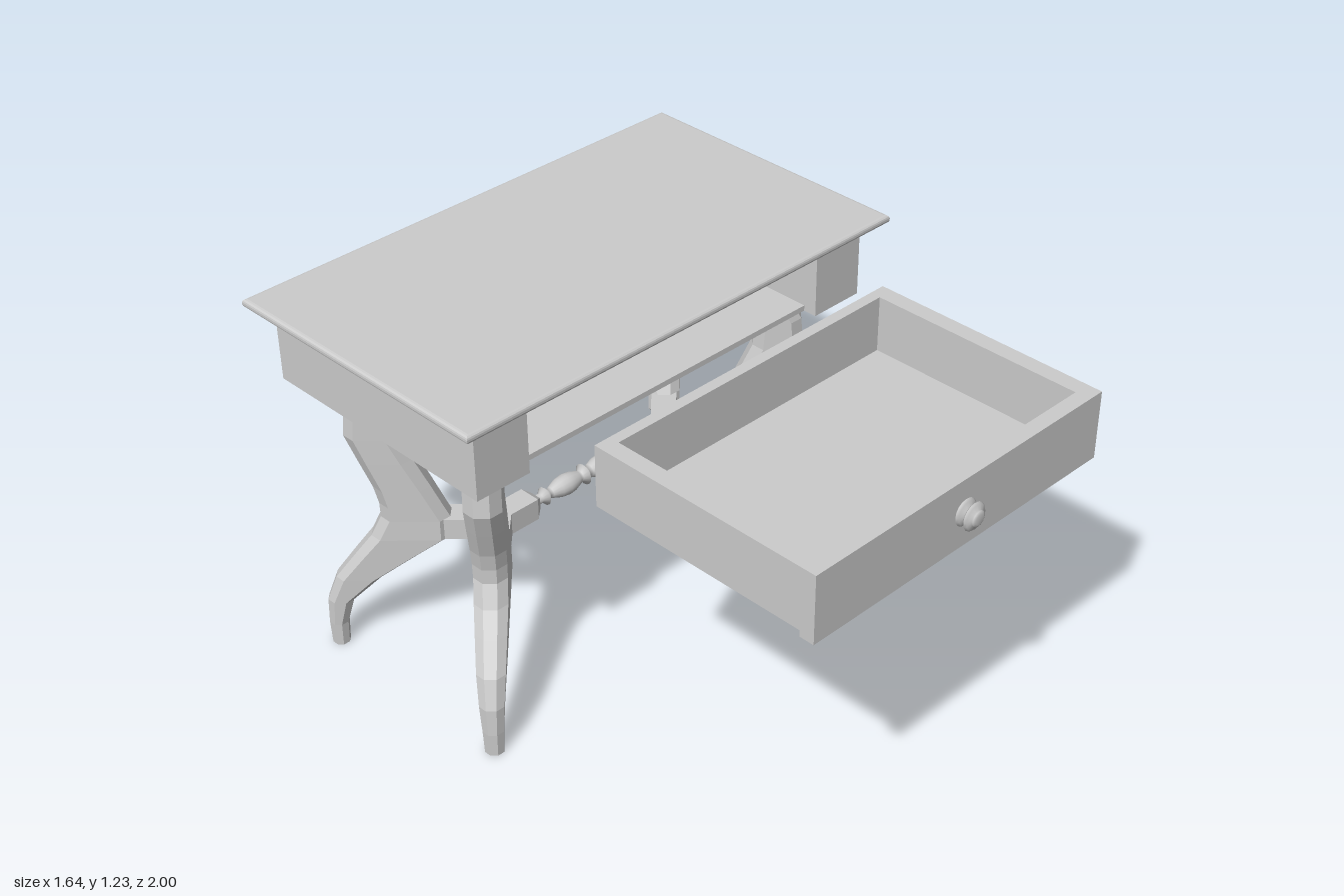
import * as THREE from 'three';

const grey = new THREE.MeshStandardMaterial({ color: 0xcccccc });
const greyFlat = new THREE.MeshStandardMaterial({ color: 0xcccccc, flatShading: true });

function add(parent, name, geometry, material = grey) {
  const mesh = new THREE.Mesh(geometry, material);
  mesh.name = name;
  parent.add(mesh);
  return mesh;
}

// Box given by its limits on each axis
function slab(parent, name, x0, x1, y0, y1, z0, z1) {
  const mesh = add(parent, name, new THREE.BoxGeometry(x1 - x0, y1 - y0, z1 - z0));
  mesh.position.set((x0 + x1) / 2, (y0 + y1) / 2, (z0 + z1) / 2);
  return mesh;
}

const lathe = (points, segments) =>
  new THREE.LatheGeometry(points.map(([r, h]) => new THREE.Vector2(r, h)), segments);

// Chamfered S-curved leg: rows of [height, outer reach, inner reach, half thickness]
const LEG_ROWS = [
  [0, 0.388, 0.335, 0.028], [0.08, 0.391, 0.332, 0.031], [0.17, 0.390, 0.312, 0.037],
  [0.26, 0.368, 0.245, 0.043], [0.35, 0.322, 0.156, 0.047], [0.42, 0.285, 0.085, 0.05],
  [0.49, 0.261, 0.085, 0.05], [0.54, 0.262, 0.101, 0.051], [0.6, 0.272, 0.12, 0.052],
  [0.7, 0.30, 0.153, 0.054], [0.785, 0.323, 0.18, 0.055], [0.88, 0.317, 0.185, 0.055],
  [0.92, 0.303, 0.18, 0.055], [0.96, 0.279, 0.171, 0.055],
];

function legGeometry() {
  const positions = [], index = [], n = 8;
  for (const [y, reachOut, reachIn, t] of LEG_ROWS) {
    const c = t * 0.58, f = t - c;
    const so = reachOut * Math.SQRT2 - f, si = reachIn * Math.SQRT2 + f;
    const loop = [[so, -f], [so, f], [so - c, t], [si + c, t], [si, f], [si, -f], [si + c, -t], [so - c, -t]];
    for (const [s, w] of loop) positions.push(s, y, w);
  }
  const last = (LEG_ROWS.length - 1) * n;
  for (let i = 0; i < last; i += n) {
    for (let j = 0; j < n; j++) {
      const k = (j + 1) % n;
      index.push(i + j, i + n + j, i + n + k, i + j, i + n + k, i + k);
    }
  }
  for (let j = 1; j < n - 1; j++) index.push(0, j, j + 1, last, last + j + 1, last + j);
  const geometry = new THREE.BufferGeometry();
  geometry.setAttribute('position', new THREE.Float32BufferAttribute(positions, 3));
  geometry.setIndex(index);
  geometry.computeVertexNormals();
  return geometry;
}

function createTable() {
  const table = new THREE.Group();
  table.name = 'table';

  // Top with a rounded edge
  const w = 0.81, d = 0.473;
  const outline = new THREE.Shape([[-w, -d], [w, -d], [w, d], [-w, d]].map(p => new THREE.Vector2(...p)));
  const topGeometry = new THREE.ExtrudeGeometry(outline, {
    depth: 0.007, bevelThickness: 0.01, bevelSize: 0.012, bevelSegments: 3,
  });
  topGeometry.rotateX(-Math.PI / 2);
  add(table, 'tableTop', topGeometry).position.y = 1.21;

  // Apron around the open drawer cavity
  slab(table, 'apronLeft', 0.57, 0.757, 0.96, 1.2, -0.426, 0.426);
  slab(table, 'apronRight', -0.757, -0.57, 0.96, 1.2, -0.426, 0.426);
  slab(table, 'apronBack', -0.57, 0.57, 0.96, 1.2, -0.426, -0.36);
  slab(table, 'topRail', -0.57, 0.57, 1.177, 1.2, -0.36, 0.426);
  slab(table, 'cavityFloor', -0.57, 0.57, 0.96, 0.978, -0.36, 0.381);

  // Four legs splayed diagonally, each with an arm to the stretcher
  const leg = legGeometry();
  for (let k = 0; k < 4; k++) {
    const angle = Math.PI / 4 + k * Math.PI / 2;
    const unit = new THREE.Group();
    unit.name = 'legUnit';
    unit.position.x = 0.345 * Math.sign(Math.cos(angle));
    unit.rotation.y = angle;
    add(unit, 'leg', leg, greyFlat);
    slab(unit, 'legArm', -0.01, 0.19, 0.418, 0.49, -0.04, 0.04);
    table.add(unit);
  }

  // Stretcher blocks with tapered ends
  for (const side of [-1, 1]) {
    slab(table, 'stretcherBlock', side * 0.29 - 0.07, side * 0.29 + 0.07, 0.418, 0.49, -0.038, 0.038);
    const taper = new THREE.CylinderGeometry(0.026, 0.052, 0.025, 4);
    taper.rotateY(Math.PI / 4).rotateZ(side * Math.PI / 2);
    add(table, 'stretcherBlockEnd', taper, greyFlat).position.set(side * 0.2075, 0.454, 0);
  }

  // Turned spindle, symmetric about its middle disc
  const half = [
    [0.035, 0], [0.018, 0.014], [0.022, 0.025], [0.031, 0.05], [0.034, 0.075], [0.03, 0.105],
    [0.018, 0.137], [0.014, 0.146], [0.03, 0.162], [0.015, 0.177], [0.018, 0.2],
  ];
  const profile = [...half.slice(1).reverse().map(([r, h]) => [r, -h]), ...half];
  const spindle = lathe(profile, 16);
  spindle.rotateZ(-Math.PI / 2);
  add(table, 'stretcherSpindle', spindle).position.y = 0.454;

  table.position.z = -0.515;
  return table;
}

function createDrawer() {
  const drawer = new THREE.Group();
  drawer.name = 'drawer';
  slab(drawer, 'drawerFront', -0.565, 0.565, 0.96, 1.175, 0.9, 0.948);
  slab(drawer, 'drawerBack', -0.565, 0.565, 0.98, 1.175, 0.17, 0.205);
  slab(drawer, 'drawerLeft', 0.512, 0.565, 0.98, 1.175, 0.205, 0.9);
  slab(drawer, 'drawerRight', -0.565, -0.512, 0.98, 1.175, 0.205, 0.9);
  slab(drawer, 'drawerBottom', -0.512, 0.512, 0.98, 0.998, 0.205, 0.9);

  // Turned knob
  const knob = lathe([
    [0.036, 0], [0.042, 0.005], [0.036, 0.011], [0.02, 0.017], [0.02, 0.021], [0.036, 0.026],
    [0.043, 0.032], [0.038, 0.038], [0.024, 0.043], [0.024, 0.048], [0.016, 0.052], [0, 0.052],
  ], 16);
  knob.rotateX(Math.PI / 2);
  add(drawer, 'drawerKnob', knob).position.set(0, 1.073, 0.948);
  return drawer;
}

export function createModel() {
  const model = new THREE.Group();
  model.name = 'sideTableWithDrawer';
  model.add(createTable(), createDrawer());
  return model;
}
